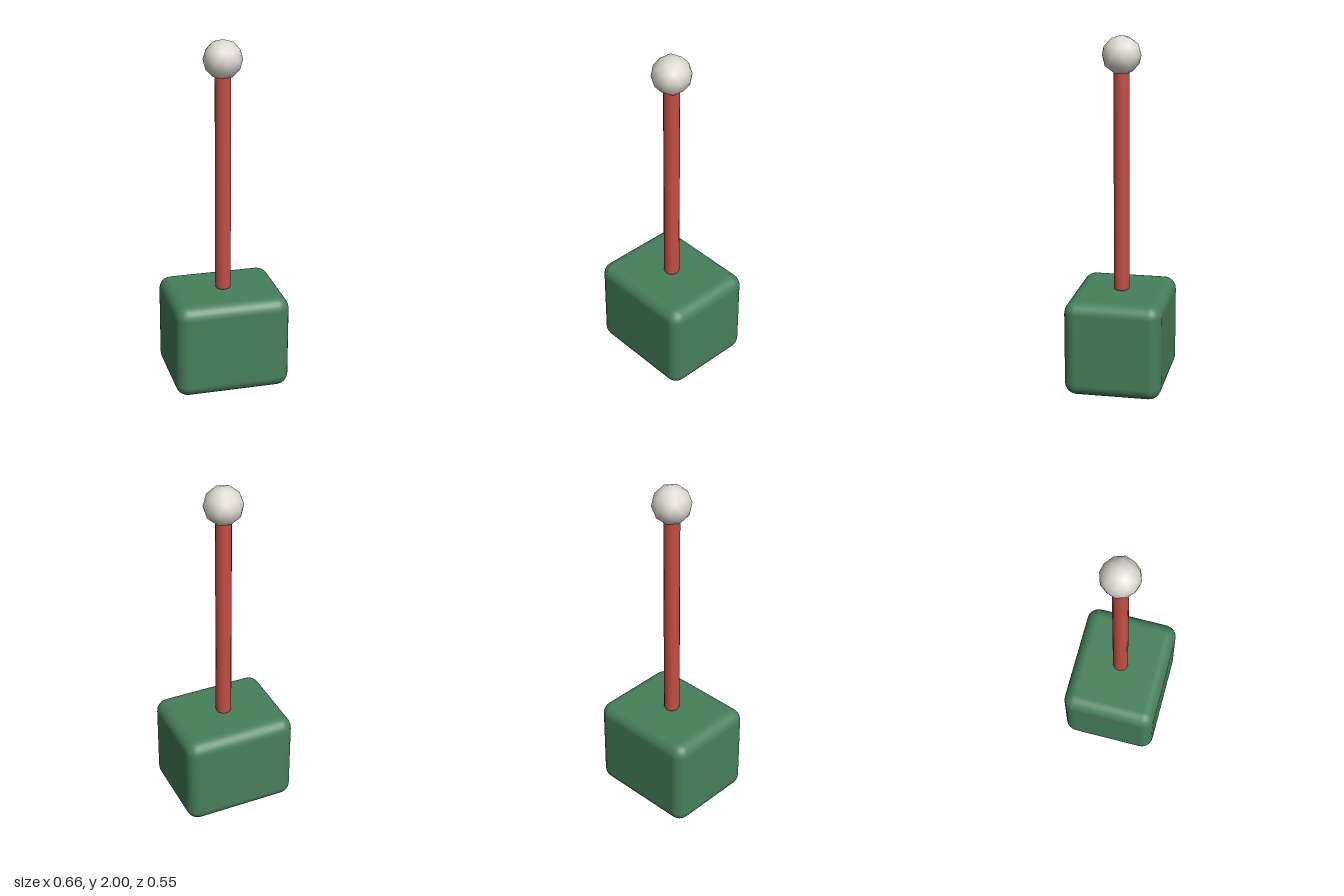
import * as THREE from 'three';
import { RoundedBoxGeometry } from 'three/addons/geometries/RoundedBoxGeometry.js';

export function createModel() {
  const model = new THREE.Group();
  const material = (name, color) => {
    const m = new THREE.MeshStandardMaterial({ color });
    m.name = name;
    return m;
  };
  const add = (name, geometry, mat, y) => {
    const mesh = new THREE.Mesh(geometry, mat);
    mesh.name = name;
    mesh.position.y = y;
    model.add(mesh);
  };

  // Rounded block standing on the ground
  add('base', new RoundedBoxGeometry(0.66, 0.55, 0.55, 3, 0.07), material('green', 0x47805c), 0.275);

  // Slim rod with softly rounded ends
  const r = 0.045, bevel = 0.015, length = 1.3;
  const profile = [
    [0, 0], [r - bevel, 0], [r - bevel * 0.3, bevel * 0.3], [r, bevel],
    [r, length - bevel], [r - bevel * 0.3, length - bevel * 0.3], [r - bevel, length], [0, length],
  ].map(([x, y]) => new THREE.Vector2(x, y));
  add('rod', new THREE.LatheGeometry(profile, 16), material('red', 0xc44f44), 0.546);

  // Smooth-shaded low-poly ball, turned so one of its vertices points up
  const ball = new THREE.IcosahedronGeometry(0.11, 1);
  ball.rotateZ(-Math.atan(2 / (1 + Math.sqrt(5))));
  add('ball', ball, material('ivory', 0xdedad2), 1.89);

  return model;
}
